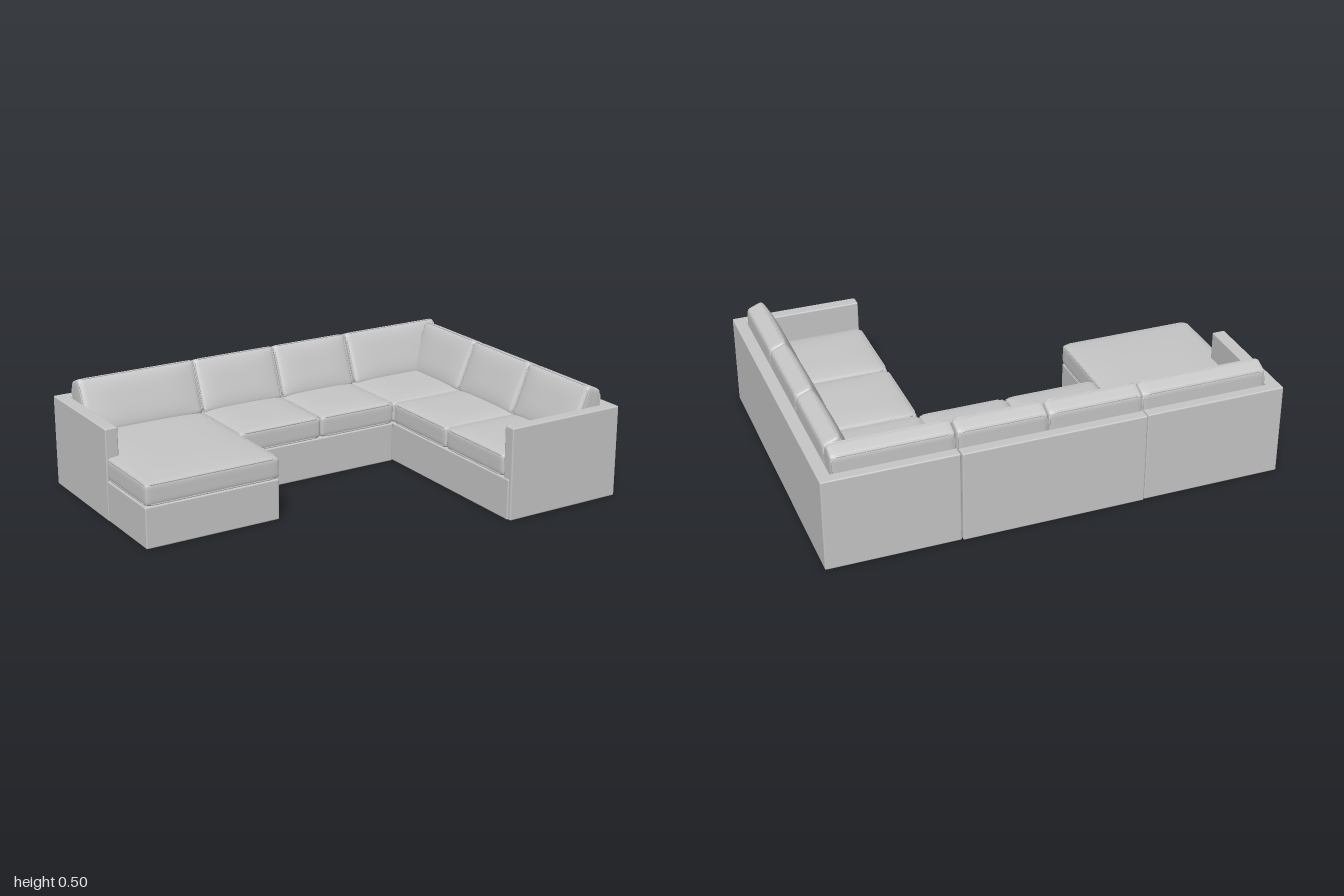
import * as THREE from 'three';
import { mergeVertices } from 'three/addons/utils/BufferGeometryUtils.js';
import { RoundedBoxGeometry } from 'three/addons/geometries/RoundedBoxGeometry.js';

const fabric = new THREE.MeshStandardMaterial({ color: 0xc6c6c6 });
fabric.name = 'grey fabric';

const LEAN = 0.39;        // tilt of the back cushions
const BACK_HEIGHT = 0.25; // length of a back cushion along its tilt

function add(parent, name, geometry) {
  const mesh = new THREE.Mesh(geometry, fabric);
  mesh.name = name;
  parent.add(mesh);
  return mesh;
}

// Upholstered block given by its limits on each axis
function block(parent, name, [x0, x1], [y0, y1], [z0, z1]) {
  const mesh = add(parent, name, new RoundedBoxGeometry(x1 - x0, y1 - y0, z1 - z0, 2, 0.006));
  mesh.position.set((x0 + x1) / 2, (y0 + y1) / 2, (z0 + z1) / 2);
}

// Soft box: rounded edges, with its visible large face (local +z) puffed out
function cushionGeometry(w, h, d, puff) {
  const r = 0.016;
  const geo = new THREE.BoxGeometry(2, 2, 2, 20, 20, 10);
  geo.deleteAttribute('uv');
  geo.deleteAttribute('normal');
  const half = new THREE.Vector3(w / 2, h / 2, d / 2);
  const inner = half.clone().subScalar(r);
  const p = new THREE.Vector3(), q = new THREE.Vector3();
  const pos = geo.attributes.position;
  for (let i = 0; i < pos.count; i++) {
    p.fromBufferAttribute(pos, i);
    for (const k of ['x', 'y', 'z']) p[k] = Math.sin(p[k] * Math.PI / 2) * half[k];
    const u = p.x / half.x, v = p.y / half.y, front = Math.max(p.z / half.z, 0);
    q.copy(p).clamp(inner.clone().negate(), inner);
    p.sub(q).setLength(r).add(q);
    p.z += front * puff * (1 - u ** 4) * (1 - v ** 4);
    pos.setXYZ(i, p.x, p.y, p.z);
  }
  const welded = mergeVertices(geo, 1e-5);
  welded.computeVertexNormals();
  return welded;
}

// Welt cord following a rounded rectangle
function pipingGeometry(w, h) {
  const x = w / 2, y = h / 2, c = 0.02;
  const corners = [[x, y - c], [x - c, y], [-x + c, y], [-x, y - c],
    [-x, -y + c], [-x + c, -y], [x - c, -y], [x, -y + c]];
  const path = new THREE.CurvePath();
  const points = corners.map(([a, b]) => new THREE.Vector3(a, b, 0));
  points.forEach((a, i) => path.add(new THREE.LineCurve3(a, points[(i + 1) % 8])));
  return new THREE.TubeGeometry(path, 96, 0.004, 6, true);
}

function seatCushion(parent, [x0, x1], [z0, z1]) {
  const w = x1 - x0, h = z1 - z0, d = 0.095;
  const seat = new THREE.Group();
  seat.name = 'seatCushion';
  add(seat, 'cushionBody', cushionGeometry(w, h, d, 0.012));
  for (const s of [-1, 1]) {
    add(seat, 'piping', pipingGeometry(w - 0.008, h - 0.008)).position.z = s * (d / 2 - 0.005);
  }
  seat.rotation.x = -Math.PI / 2;
  seat.position.set((x0 + x1) / 2, 0.23, (z0 + z1) / 2);
  parent.add(seat);
}

// Thickens a cushion toward its foot so that its rear stands upright once leaned
function wedge(geometry, depth) {
  const pos = geometry.attributes.position;
  for (let i = 0; i < pos.count; i++) {
    const rear = THREE.MathUtils.clamp(0.5 - pos.getZ(i) / depth, 0, 1);
    const drop = BACK_HEIGHT / 2 - pos.getY(i);
    pos.setZ(i, pos.getZ(i) - rear * drop * Math.tan(LEAN));
  }
  geometry.computeVertexNormals();
  return geometry;
}

// Leaning back cushion; turn faces it toward the seat
function backCushion(parent, length, x, z, turn) {
  const d = 0.075;
  const back = new THREE.Group();
  back.name = 'backCushion';
  add(back, 'cushionBody', wedge(cushionGeometry(length, BACK_HEIGHT, d, 0.014), d));
  for (const s of [-1, 1]) {
    const cord = pipingGeometry(length - 0.008, BACK_HEIGHT - 0.008);
    cord.translate(0, 0, s * (d / 2 - 0.005));
    add(back, 'piping', wedge(cord, d));
  }
  back.rotation.set(-LEAN, turn, 0, 'YXZ');
  back.position.set(x, 0.374, z);
  parent.add(back);
}

export function createModel() {
  const sofa = new THREE.Group();
  sofa.name = 'sectionalSofa';
  const section = (name) => {
    const group = new THREE.Group();
    group.name = name;
    sofa.add(group);
    return group;
  };
  const baseY = [0, 0.18], wallY = [0, 0.408];

  // Chaise section; its cushion runs through the arm and wraps its front
  const chaise = section('chaiseSection');
  block(chaise, 'base', [-0.986, -0.37], baseY, [-0.69, 0.177]);
  block(chaise, 'backPanel', [-0.988, -0.37], wallY, [-0.705, -0.655]);
  block(chaise, 'arm', [-0.988, -0.93], wallY, [-0.705, -0.175]);
  seatCushion(chaise, [-0.984, -0.368], [-0.65, 0.18]);
  backCushion(chaise, 0.56, -0.645, -0.572, 0);

  // Armless two-seat section
  const middle = section('middleSection');
  block(middle, 'base', [-0.367, 0.428], baseY, [-0.69, -0.166]);
  block(middle, 'backPanel', [-0.367, 0.428], wallY, [-0.71, -0.66]);
  for (const [x0, x1] of [[-0.366, 0.043], [0.045, 0.429]]) {
    seatCushion(middle, [x0, x1], [-0.65, -0.162]);
    backCushion(middle, x1 - x0, (x0 + x1) / 2, -0.572, 0);
  }

  // Corner section running forward along the left side
  const corner = section('cornerSection');
  block(corner, 'base', [0.43, 0.99], baseY, [-0.69, 0.69]);
  block(corner, 'backPanel', [0.432, 1], wallY, [-0.705, -0.655]);
  block(corner, 'sidePanel', [0.945, 1], wallY, [-0.705, 0.705]);
  block(corner, 'endArm', [0.435, 1], wallY, [0.65, 0.705]);
  backCushion(corner, 0.508, 0.688, -0.572, 0);
  for (const [z0, z1, backStart] of [[-0.65, -0.163, -0.56], [-0.161, 0.244, -0.161], [0.246, 0.652, 0.246]]) {
    seatCushion(corner, [0.428, 0.938], [z0, z1]);
    backCushion(corner, z1 - backStart, 0.862, (backStart + z1) / 2, -Math.PI / 2);
  }

  return sofa;
}
